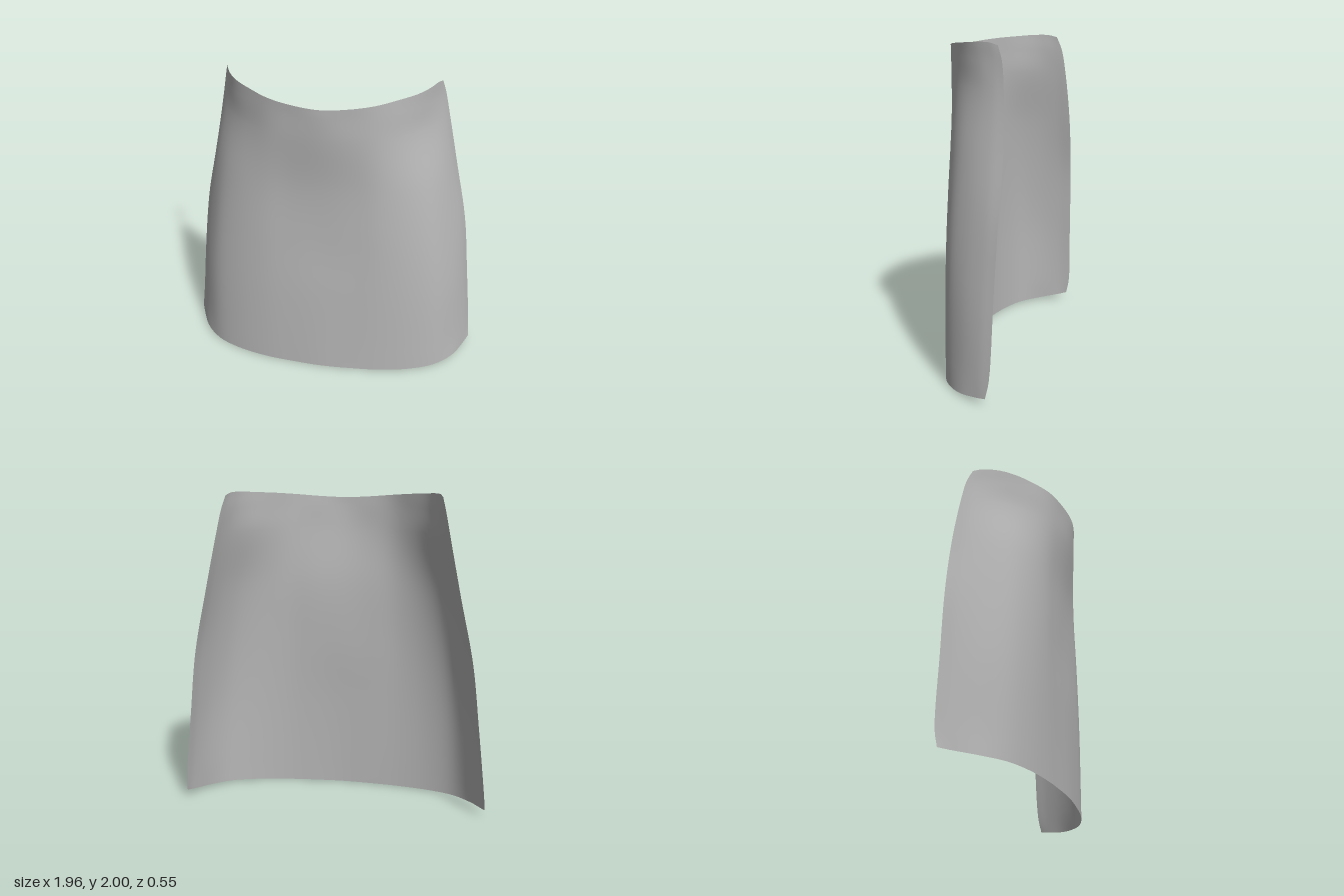
import * as THREE from 'three';

// Half cross-sections from the centre line to the side edge: [x, z] pairs,
// with one height per section, or one height per point for the curved hems.
const SECTIONS = [
  { y: [0, 0, 0, 0.003, 0.008, 0.015, 0.033, 0.045],
    p: [[0, 0.23], [0.2, 0.22], [0.4, 0.2], [0.6, 0.155], [0.76, 0.085], [0.88, -0.03], [0.95, -0.16], [0.978, -0.222]] },
  { y: 0.15,
    p: [[0, 0.228], [0.2, 0.219], [0.4, 0.2], [0.6, 0.155], [0.76, 0.082], [0.87, -0.035], [0.942, -0.165], [0.97, -0.243]] },
  { y: 0.6,
    p: [[0, 0.22], [0.2, 0.215], [0.4, 0.2], [0.59, 0.155], [0.74, 0.08], [0.84, -0.04], [0.9, -0.17], [0.922, -0.255]] },
  { y: 1.0,
    p: [[0, 0.207], [0.2, 0.207], [0.38, 0.198], [0.56, 0.15], [0.7, 0.07], [0.79, -0.05], [0.85, -0.18], [0.874, -0.265]] },
  { y: 1.4,
    p: [[0, 0.217], [0.19, 0.21], [0.36, 0.192], [0.52, 0.135], [0.64, 0.05], [0.72, -0.06], [0.77, -0.18], [0.79, -0.27]] },
  { y: 1.75,
    p: [[0, 0.26], [0.17, 0.243], [0.33, 0.2], [0.47, 0.115], [0.57, 0.02], [0.65, -0.09], [0.695, -0.18], [0.718, -0.25]] },
  { y: 1.9,
    p: [[0, 0.273], [0.165, 0.25], [0.32, 0.205], [0.455, 0.118], [0.555, 0.025], [0.62, -0.07], [0.663, -0.165], [0.687, -0.23]] },
  { y: [1.955, 1.962, 1.975, 1.987, 1.994, 2, 2, 1.985],
    p: [[0, 0.275], [0.16, 0.255], [0.31, 0.21], [0.44, 0.125], [0.54, 0.04], [0.6, -0.04], [0.645, -0.14], [0.665, -0.2]] },
];

// Mirror a half section into a smooth curve running from -x to +x
function sectionCurve({ y, p }) {
  const half = p.map(([x, z], i) => new THREE.Vector3(x, Array.isArray(y) ? y[i] : y, z));
  const mirrored = half.slice(1).reverse().map((v) => new THREE.Vector3(-v.x, v.y, v.z));
  return new THREE.CatmullRomCurve3([...mirrored, ...half]);
}

// Loft a smooth open sheet through the sections
function loftSheet(sections, columns, rows) {
  const curves = sections.map(sectionCurve);
  const positions = [];
  const indices = [];
  for (let i = 0; i <= columns; i++) {
    const rib = new THREE.CatmullRomCurve3(curves.map((c) => c.getPoint(i / columns)));
    for (let j = 0; j <= rows; j++) positions.push(...rib.getPoint(j / rows).toArray());
  }
  for (let i = 0; i < columns; i++) {
    for (let j = 0; j < rows; j++) {
      const a = i * (rows + 1) + j;
      const b = a + rows + 1;
      indices.push(a, b, b + 1, a, b + 1, a + 1);
    }
  }
  const geometry = new THREE.BufferGeometry();
  geometry.setAttribute('position', new THREE.Float32BufferAttribute(positions, 3));
  geometry.setIndex(indices);
  geometry.computeVertexNormals();
  return geometry;
}

export function createModel() {
  const group = new THREE.Group();
  group.name = 'curvedShell';

  const grey = new THREE.MeshStandardMaterial({ color: 0xb8b8b8, side: THREE.DoubleSide });
  grey.name = 'plain grey';

  // Flared panel wrapping round the front, open at the back
  const panel = new THREE.Mesh(loftSheet(SECTIONS, 56, 42), grey);
  panel.name = 'curvedPanel';
  group.add(panel);
  return group;
}
